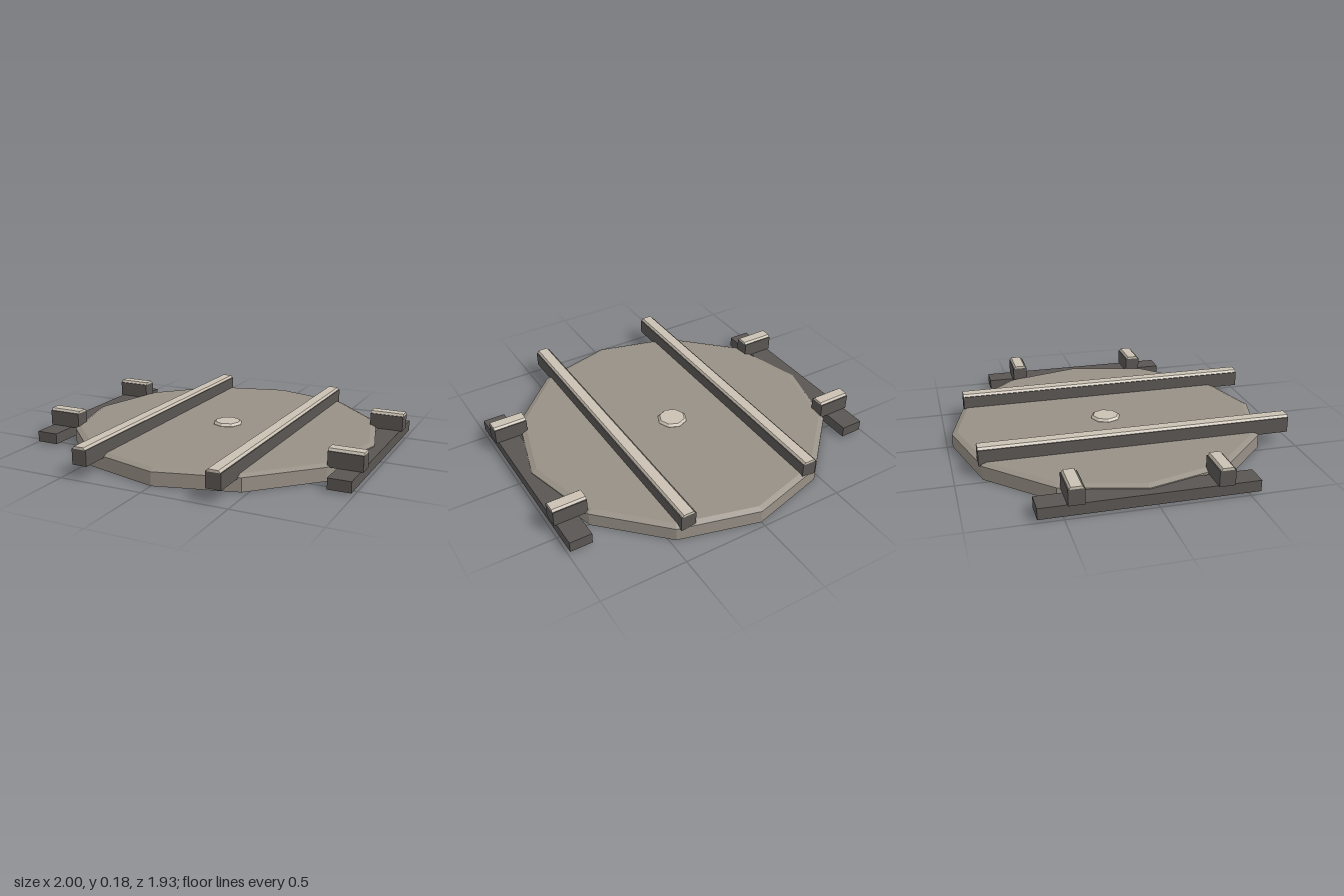
import * as THREE from 'three';

const material = (name, color) => {
  const m = new THREE.MeshStandardMaterial({ color });
  m.name = name;
  m.flatShading = true;
  return m;
};

export function createModel() {
  const stone = material('warm grey plate', 0x979086);
  const dark = material('dark frame', 0x5a5653);
  const pale = material('pale trim', 0xcac1b3);
  const model = new THREE.Group();
  model.name = 'roundHatch';
  const midZ = -0.036;

  const add = (parent, name, geometry, mat, x = 0, y = 0, z = 0) => {
    const mesh = new THREE.Mesh(geometry, mat);
    mesh.name = name;
    mesh.position.set(x, y, z);
    parent.add(mesh);
    return mesh;
  };

  // Faceted solid turned from a [radius, height] profile
  const turned = (profile, sides) =>
    new THREE.LatheGeometry(profile.map(([r, y]) => new THREE.Vector2(r, y)), sides);

  // Dark bar along z with a bevelled pale strip on top
  const cappedBar = (name, width, length) => {
    const bar = new THREE.Group();
    bar.name = name;
    add(bar, 'barBody', new THREE.BoxGeometry(width, 0.091, length), dark, 0, 0.1185, 0);
    const b = width / 2 - 0.006, t = width / 2 - 0.015;
    const section = new THREE.Shape([[-b, 0.164], [b, 0.164], [t, 0.178], [-t, 0.178]]
      .map(([x, y]) => new THREE.Vector2(x, y)));
    const strip = new THREE.ExtrudeGeometry(section, { depth: length, bevelEnabled: false });
    add(bar, 'barTrim', strip.translate(0, 0, -length / 2), pale);
    model.add(bar);
    return bar;
  };

  // Twelve-sided plate with a chamfered rim
  add(model, 'plate', turned([[0, 0], [0.932, 0], [0.932, 0.08], [0.9, 0.093], [0, 0.093]], 12),
    stone, 0, 0, midZ);

  // Eight-sided centre boss
  add(model, 'centreBoss', turned([[0, 0.09], [0.09, 0.09], [0.09, 0.095], [0.077, 0.109], [0, 0.109]], 8),
    pale, 0, 0, midZ);

  for (const side of [-1, 1]) {
    const label = side > 0 ? 'left' : 'right';

    // Long rail across the plate
    cappedBar(label + 'Rail', 0.09, 1.826).position.set(side * 0.4, 0, 0.052);

    // Side beam beside the plate
    add(model, label + 'Beam', new THREE.BoxGeometry(0.132, 0.064, 1.2), dark, side * 0.92, 0.042, midZ);

    // Short clamps sitting on the beam
    for (const end of [-1, 1]) {
      const clamp = cappedBar(label + (end > 0 ? 'Front' : 'Back') + 'Clamp', 0.09, 0.2);
      clamp.rotation.y = Math.PI / 2;
      clamp.position.set(side * 0.9, 0, midZ + end * 0.4);
    }
  }
  return model;
}
